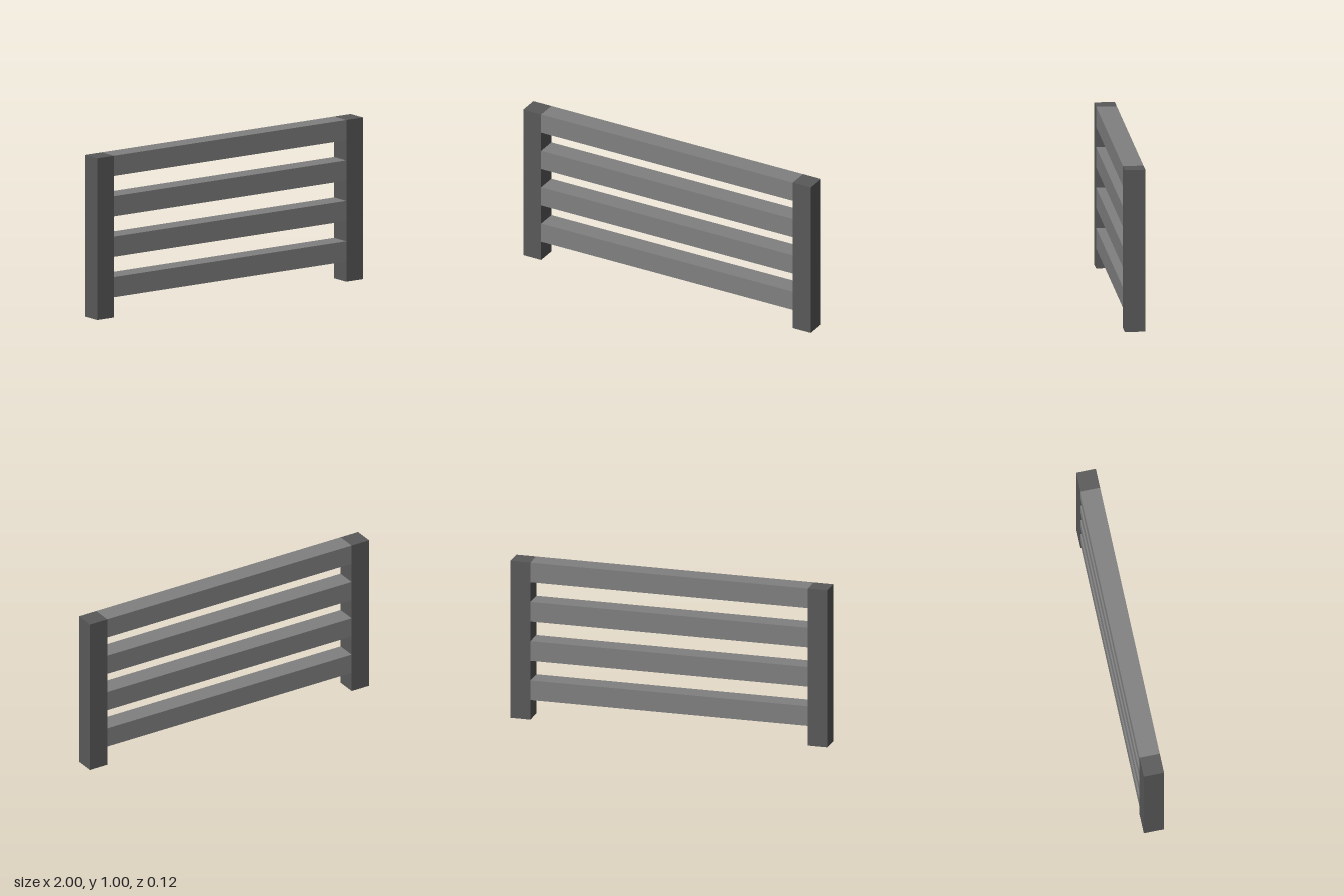
import * as THREE from 'three';

export function createModel() {
  const group = new THREE.Group();
  group.name = 'fence';

  const postGrey = new THREE.MeshStandardMaterial({ color: 0x595959 });
  postGrey.name = 'dark grey';
  const railGrey = new THREE.MeshStandardMaterial({ color: 0x808080 });
  railGrey.name = 'mid grey';

  const T = 0.125; // square section shared by posts and rails

  function addBox(name, w, h, x, y, material) {
    const mesh = new THREE.Mesh(new THREE.BoxGeometry(w, h, T), material);
    mesh.name = name;
    mesh.position.set(x, y, 0);
    group.add(mesh);
  }

  // End posts
  addBox('leftPost', T, 1, 1 - T / 2, 0.5, postGrey);
  addBox('rightPost', T, 1, -1 + T / 2, 0.5, postGrey);

  // Four evenly spaced rails, the highest flush with the post tops
  for (let i = 1; i <= 4; i++) {
    addBox(`rail${i}`, 2 - 2 * T, T, 0, i * 0.25 - T / 2, railGrey);
  }

  return group;
}
